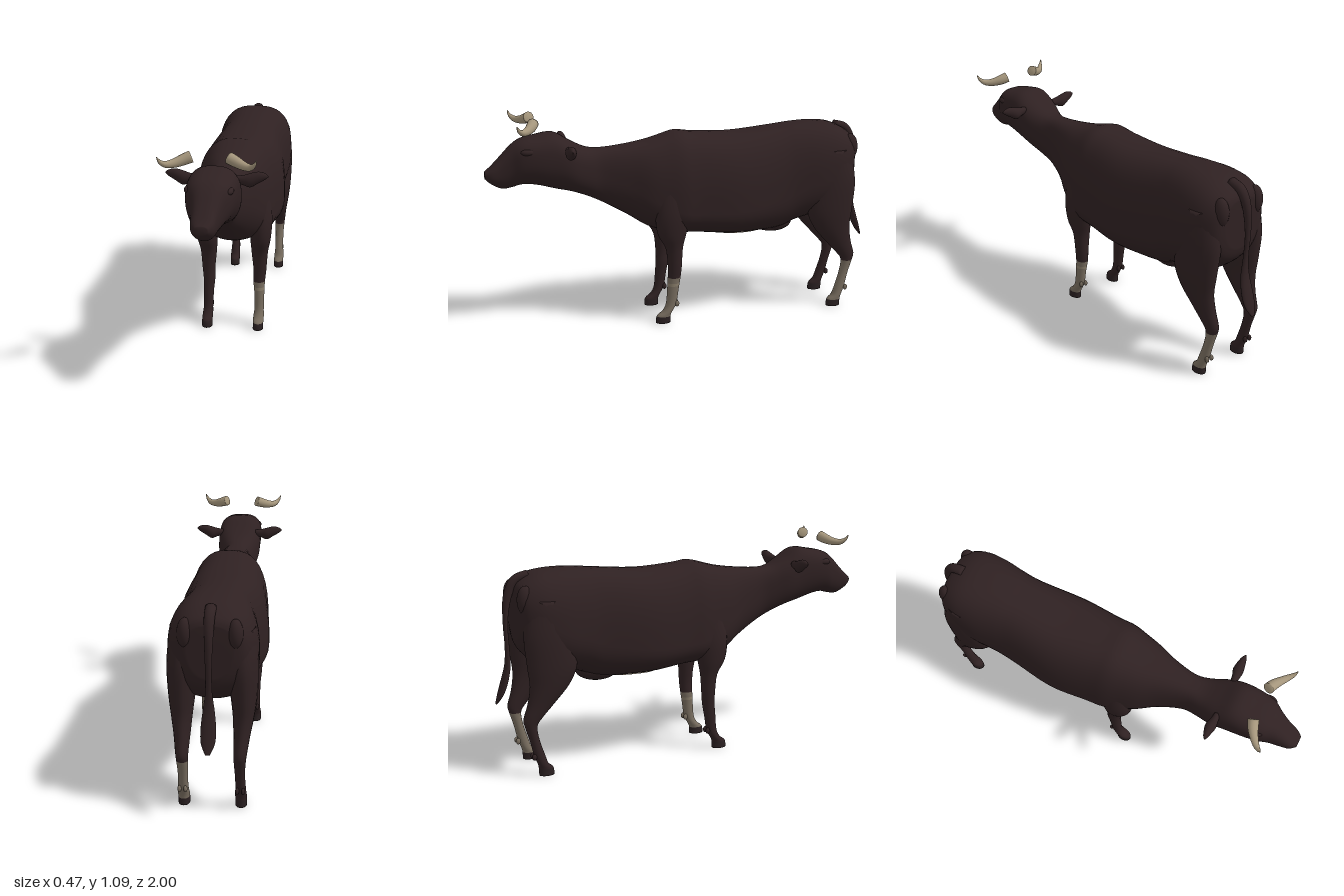
import * as THREE from 'three';

const mat = (name, color) => {
  const m = new THREE.MeshStandardMaterial({ color });
  m.name = name;
  return m;
};

// Smooth interpolation of rows of numbers
function sampleRows(rows, steps) {
  const out = [];
  const last = rows.length - 1;
  for (let i = 0; i < last; i++) {
    const a = rows[Math.max(i - 1, 0)], b = rows[i], c = rows[i + 1], d = rows[Math.min(i + 2, last)];
    for (let s = 0; s < steps; s++) {
      const t = s / steps;
      out.push(b.map((v, k) => v + 0.5 * t * (c[k] - a[k] +
        t * (2 * a[k] - 5 * v + 4 * c[k] - d[k] + t * (3 * (v - c[k]) + d[k] - a[k])))));
    }
  }
  out.push(rows[last]);
  return out;
}

// Point on a superellipse: side radius, radius above, radius below
function ringPoint(a, ra, up, down, nUp = 2, nDown = 2) {
  const c = Math.cos(a), s = Math.sin(a);
  const e = 2 / (s >= 0 ? nUp : nDown);
  return [Math.sign(c) * Math.abs(c) ** e * ra, Math.sign(s) * Math.abs(s) ** e * (s >= 0 ? up : down)];
}

// Skin over rows of [x, y, z, sideRadius, upRadius, downRadius?]
function loft(rows, { steps = 4, sides = 20, ref, dir, n = [2, 2], pick = () => 0 }) {
  const R = sampleRows(rows, steps);
  const centre = R.map((r) => new THREE.Vector3(r[0], r[1], r[2]));
  const pos = [], idx = [];
  R.forEach((r, i) => {
    const t = dir ? dir.clone()
      : centre[Math.min(i + 1, R.length - 1)].clone().sub(centre[Math.max(i - 1, 0)]).normalize();
    const side = ref.clone().cross(t).normalize(), up = t.clone().cross(side);
    for (let j = 0; j < sides; j++) {
      const [u, v] = ringPoint((j / sides) * Math.PI * 2, r[3], r[4], r[5] ?? r[4], ...n);
      pos.push(...centre[i].clone().addScaledVector(side, u).addScaledVector(up, v).toArray());
    }
  });
  const geo = new THREE.BufferGeometry();
  const end = R.length - 1, c0 = R.length * sides;
  pos.push(...centre[0].toArray(), ...centre[end].toArray());
  const group = (from, m) => geo.addGroup(from, idx.length - from, m);
  for (let j = 0; j < sides; j++) idx.push(c0, (j + 1) % sides, j);
  group(0, pick(R[0]));
  for (let i = 0; i < end; i++) {
    const from = idx.length;
    for (let j = 0; j < sides; j++) {
      const k = (j + 1) % sides, a = i * sides, b = a + sides;
      idx.push(a + j, a + k, b + k, a + j, b + k, b + j);
    }
    group(from, pick(R[i].map((v, q) => (v + R[i + 1][q]) / 2)));
  }
  const from = idx.length;
  for (let j = 0; j < sides; j++) idx.push(c0 + 1, end * sides + j, end * sides + ((j + 1) % sides));
  group(from, pick(R[end]));
  geo.setAttribute('position', new THREE.Float32BufferAttribute(pos, 3));
  geo.setIndex(idx);
  geo.computeVertexNormals();
  return geo;
}

export function createModel() {
  const model = new THREE.Group();
  const coat = mat('dark brown coat', 0x2f2122);
  const sock = mat('grey tan sock', 0x786d5f);
  const band = mat('pale sock band', 0x8a7e6b);
  const hoof = mat('hoof', 0x2a2021);
  const horn = mat('horn', 0xa5967c);
  const X = new THREE.Vector3(1, 0, 0), Y = new THREE.Vector3(0, 1, 0), Z = new THREE.Vector3(0, 0, 1);
  const add = (name, geo, material) => {
    const mesh = new THREE.Mesh(geo, material);
    mesh.name = name;
    model.add(mesh);
    return mesh;
  };
  const ball = (name, material, p, s) => {
    const mesh = add(name, new THREE.SphereGeometry(1, 20, 14), material);
    mesh.position.set(...p);
    mesh.scale.set(...s);
    return mesh;
  };

  // Trunk, neck and head: z, top, bottom, widest height, half width
  const trunk = [
    [-0.895, 0.9, 0.66, 0.8, 0.1], [-0.875, 0.935, 0.6, 0.78, 0.155], [-0.8, 0.975, 0.53, 0.74, 0.195],
    [-0.7, 0.988, 0.5, 0.7, 0.205], [-0.58, 0.985, 0.47, 0.66, 0.195], [-0.48, 0.975, 0.435, 0.62, 0.195],
    [-0.25, 0.955, 0.43, 0.58, 0.22], [-0.05, 0.965, 0.45, 0.58, 0.205], [0.04, 0.975, 0.455, 0.59, 0.2],
    [0.12, 0.955, 0.47, 0.62, 0.18], [0.2, 0.935, 0.495, 0.66, 0.155], [0.3, 0.92, 0.56, 0.72, 0.11],
    [0.42, 0.91, 0.63, 0.77, 0.078], [0.5, 0.917, 0.67, 0.8, 0.09], [0.58, 0.955, 0.7, 0.84, 0.112],
    [0.66, 1.0, 0.72, 0.88, 0.115], [0.75, 0.99, 0.745, 0.89, 0.113], [0.82, 0.975, 0.752, 0.88, 0.1],
    [0.87, 0.945, 0.74, 0.85, 0.075], [0.92, 0.895, 0.735, 0.82, 0.06], [0.97, 0.845, 0.76, 0.805, 0.05],
    [1.0, 0.822, 0.787, 0.805, 0.028],
  ].map(([z, top, bottom, mid, w]) => [0, mid, z, w, top - mid, mid - bottom]);
  const shape = [2.7, 2.2];
  add('body', loft(trunk, { steps: 4, sides: 40, ref: Y, dir: Z, n: shape }), coat);

  // Pale belly patch that follows the underside
  const fine = sampleRows(trunk, 12);
  const patch = new THREE.CircleGeometry(1, 28, 0, Math.PI * 2);
  const rim = new THREE.RingGeometry(0.001, 1, 28, 6);
  patch.dispose();
  const p = rim.attributes.position;
  for (let i = 0; i < p.count; i++) {
    const z = -0.28 + p.getY(i) * 0.12;
    const k = fine.findIndex((r) => r[2] >= z);
    const f = (z - fine[k - 1][2]) / (fine[k][2] - fine[k - 1][2]);
    const r = fine[k].map((v, q) => fine[k - 1][q] * (1 - f) + v * f);
    const x = p.getX(i) * 0.095;
    const drop = r[5] * (1 - (Math.abs(x) / r[3]) ** shape[1]) ** (1 / shape[1]);
    p.setXYZ(i, x, r[1] - drop - 0.004, z);
  }
  rim.computeVertexNormals();
  const patchMat = sock.clone();
  patchMat.name = 'belly patch';
  patchMat.side = THREE.DoubleSide;
  add('bellyPatch', rim, patchMat);
  ball('udder', coat, [0, 0.465, -0.48], [0.1, 0.055, 0.11]);

  // Legs: y, x, z, half width, half depth
  const frontLeg = [
    [0.78, 0.11, 0.08, 0.06, 0.08], [0.6, 0.135, 0.09, 0.06, 0.09], [0.48, 0.137, 0.095, 0.052, 0.075],
    [0.4, 0.132, 0.083, 0.042, 0.045], [0.3, 0.133, 0.08, 0.033, 0.036], [0.24, 0.13, 0.083, 0.03, 0.033],
    [0.18, 0.132, 0.09, 0.026, 0.03], [0.1, 0.133, 0.1, 0.024, 0.027], [0.06, 0.133, 0.12, 0.027, 0.026],
    [0.035, 0.133, 0.14, 0.027, 0.036], [0, 0.133, 0.143, 0.027, 0.038],
  ];
  const hindLeg = [
    [0.86, 0.12, -0.76, 0.07, 0.1], [0.7, 0.135, -0.765, 0.07, 0.125], [0.55, 0.14, -0.755, 0.062, 0.125],
    [0.45, 0.14, -0.77, 0.05, 0.1], [0.36, 0.135, -0.815, 0.038, 0.068], [0.29, 0.132, -0.858, 0.03, 0.046],
    [0.25, 0.13, -0.867, 0.027, 0.03], [0.18, 0.13, -0.852, 0.023, 0.024], [0.1, 0.132, -0.83, 0.024, 0.027],
    [0.06, 0.132, -0.815, 0.027, 0.026], [0.035, 0.132, -0.8, 0.027, 0.036], [0, 0.132, -0.797, 0.027, 0.038],
  ];
  const down = Y.clone().negate();
  for (const s of [1, -1]) {
    const side = s > 0 ? 'left' : 'right';
    const lower = s > 0 ? sock : coat;
    for (const [name, rows, sockTop, clawZ] of [['Front', frontLeg, 0.24, 0.072], ['Hind', hindLeg, 0.25, -0.86]]) {
      const pick = (r) => (r[1] < 0.035 ? 3 : r[1] > sockTop ? 0
        : name === 'Front' && r[1] > 0.19 && r[1] < 0.212 ? 2 : 1);
      const geo = loft(rows.map(([y, x, z, rx, rz]) => [x * s, y, z, rx, rz]), { ref: Z, dir: down, pick });
      add(`${side}${name}Leg`, geo, [coat, lower, s > 0 ? band : coat, hoof]);
      // Dewclaws behind the fetlock
      for (const dx of [-0.014, 0.014]) {
        ball(`${side}${name}Dewclaw`, lower, [0.132 * s + dx, 0.1, clawZ], [0.009, 0.016, 0.012]);
      }
    }

    // Ear
    const ear = [
      [0.09, 0.925, 0.6, 0.014, 0.016], [0.125, 0.922, 0.6, 0.02, 0.024], [0.155, 0.922, 0.597, 0.026, 0.033],
      [0.19, 0.936, 0.597, 0.02, 0.027], [0.22, 0.942, 0.598, 0.011, 0.015], [0.235, 0.943, 0.6, 0.002, 0.003],
    ].map(([x, ...r]) => [x * s, ...r]);
    add(`${side}Ear`, loft(ear, { ref: Y, dir: X.clone().multiplyScalar(s), sides: 16 }), coat);

    // Curved horn floating above the head
    const hornRows = [
      [0.083, 1.065, 0.765, 0.027, 0.027], [0.115, 1.053, 0.778, 0.025, 0.025], [0.15, 1.042, 0.8, 0.02, 0.02],
      [0.182, 1.041, 0.825, 0.015, 0.015], [0.203, 1.056, 0.845, 0.009, 0.009], [0.215, 1.079, 0.855, 0.002, 0.002],
    ].map(([x, ...r]) => [x * s, ...r]);
    add(`${side}Horn`, loft(hornRows, { ref: Y, sides: 16 }), horn);

    // Pin bone and brow
    ball(`${side}PinBone`, coat, [0.11 * s, 0.86, -0.868], [0.035, 0.07, 0.04]);
    ball(`${side}Brow`, coat, [0.088 * s, 0.925, 0.79], [0.022, 0.018, 0.04]);
  }

  // Tail with a flattened tuft
  const tail = [
    [0, 0.965, -0.82, 0.025, 0.02], [0, 0.94, -0.885, 0.024, 0.022], [0, 0.86, -0.923, 0.02, 0.02],
    [0, 0.74, -0.936, 0.015, 0.012], [0, 0.62, -0.932, 0.015, 0.011], [0, 0.53, -0.934, 0.026, 0.014],
    [0, 0.45, -0.953, 0.034, 0.016], [0, 0.39, -0.975, 0.031, 0.012], [0, 0.345, -0.998, 0.01, 0.003],
  ];
  add('tail', loft(tail, { ref: Z, sides: 16 }), coat);

  return model;
}
